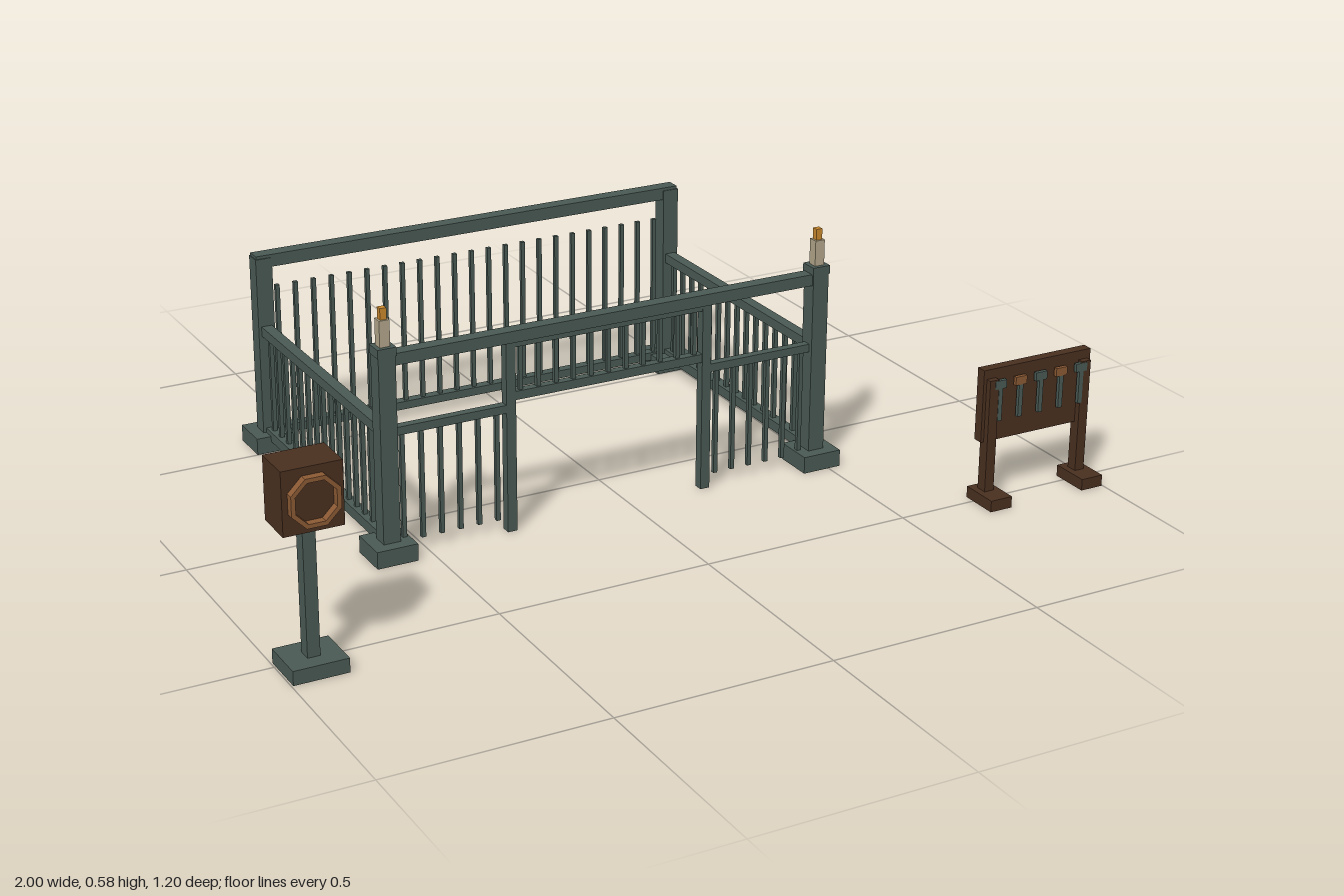
import * as THREE from 'three';

const mat = (name, color) => {
  const m = new THREE.MeshStandardMaterial({ color });
  m.name = name;
  return m;
};

export function createModel() {
  const root = new THREE.Group();
  root.name = 'fencedEnclosure';
  const iron = mat('greenGreyIron', 0x4a5a54);
  const wood = mat('darkWood', 0x4a3020);
  const trim = mat('lightWood', 0x8c5a34);
  const wax = mat('candleWax', 0xb4a88c);
  const flame = mat('flame', 0xcc8a2e);

  const group = (name) => {
    const g = new THREE.Group();
    g.name = name;
    root.add(g);
    return g;
  };
  // Box from min/max pairs on each axis
  const box = (parent, name, m, [x0, x1], [y0, y1], [z0, z1]) => {
    const mesh = new THREE.Mesh(new THREE.BoxGeometry(x1 - x0, y1 - y0, z1 - z0), m);
    mesh.position.set((x0 + x1) / 2, (y0 + y1) / 2, (z0 + z1) / 2);
    mesh.name = name;
    parent.add(mesh);
  };
  const around = (c, w) => [c - w / 2, c + w / 2];

  const L = -0.59, R = 0.482, F = 0.143, B = -0.549;
  const post = 0.04;

  // Corner posts, with candles on the front pair
  for (const x of [L, R]) {
    for (const z of [F, B]) {
      const g = group('cornerPost');
      box(g, 'postBase', iron, around(x, 0.096), [0, 0.04], around(z, 0.097));
      box(g, 'postShaft', iron, around(x, post), [0.04, 0.47], around(z, post));
      if (z === F) {
        box(g, 'postCap', iron, around(x, 0.044), [0.47, 0.49], around(z, 0.044));
        box(g, 'candle', wax, around(x, 0.024), [0.49, 0.55], around(z, 0.024));
        box(g, 'candleFlame', flame, around(x, 0.015), [0.55, 0.576], around(z, 0.015));
      }
    }
  }
  const inX = [L + post / 2, R - post / 2], inZ = [B + post / 2, F - post / 2];

  // Evenly spaced pickets along x
  const picketsX = (g, n, from, to, y, z) => {
    for (let i = 0; i < n; i++) {
      box(g, 'picket', iron, around(from + ((to - from) * i) / (n - 1), 0.01), y, around(z, 0.01));
    }
  };

  // Back wall: pickets stand free below the top beam
  const back = group('backWall');
  box(back, 'topBeam', iron, [L - 0.018, R + 0.018], [0.447, 0.477], around(B, 0.035));
  box(back, 'bottomRail', iron, inX, [0.025, 0.045], around(B, 0.024));
  picketsX(back, 23, -0.553, 0.445, [0.04, 0.395], B);

  // Side fences
  for (const x of [L, R]) {
    const side = group('sideFence');
    box(side, 'topRail', iron, around(x, 0.026), [0.282, 0.305], inZ);
    box(side, 'bottomRail', iron, around(x, 0.026), [0.027, 0.051], inZ);
    for (let i = 0; i < 15; i++) {
      box(side, 'picket', iron, around(x, 0.01), [0.051, 0.282], around(0.104 - i * 0.0437, 0.01));
    }
  }

  // Front wall with an open gateway
  const front = group('frontWall');
  const gl = -0.297, gr = 0.191;
  box(front, 'topBeam', iron, inX, [0.446, 0.473], around(F, 0.032));
  for (const x of [gl, gr]) box(front, 'gatePost', iron, around(x, 0.023), [0, 0.446], around(F, 0.023));
  box(front, 'gateLintel', iron, [gl, gr], [0.31, 0.33], around(F, 0.02));
  box(front, 'gateHeadRail', iron, [gl, gr], [0.433, 0.446], around(F, 0.02));
  picketsX(front, 11, -0.27, 0.163, [0.33, 0.433], F);
  box(front, 'midRail', iron, [inX[0], gl], [0.283, 0.302], around(F, 0.02));
  box(front, 'midRail', iron, [gr, inX[1]], [0.283, 0.302], around(F, 0.02));
  picketsX(front, 6, -0.553, -0.328, [0.03, 0.283], F);
  picketsX(front, 6, 0.222, 0.445, [0.03, 0.283], F);

  // Pedestal with a wooden box and an octagonal ring
  const stand = group('boxStand');
  const sx = -0.935;
  box(stand, 'standBase', iron, around(sx, 0.122), [0, 0.032], around(0.536, 0.11));
  box(stand, 'standPole', iron, around(sx, 0.028), [0.032, 0.319], around(0.537, 0.032));
  box(stand, 'standBox', wood, around(sx, 0.13), [0.319, 0.458], [0.489, 0.582]);
  const octagon = (path, r) => {
    for (let i = 0; i < 8; i++) {
      const a = ((i + 0.5) * Math.PI) / 4;
      path[i ? 'lineTo' : 'moveTo'](Math.cos(a) * r, Math.sin(a) * r);
    }
    path.closePath();
    return path;
  };
  const ringShape = octagon(new THREE.Shape(), 0.057);
  ringShape.holes.push(octagon(new THREE.Path(), 0.047));
  const ring = new THREE.Mesh(
    new THREE.ExtrudeGeometry(ringShape, { depth: 0.018, bevelEnabled: false }), trim);
  ring.name = 'octagonRing';
  ring.position.set(sx, 0.388, 0.582);
  stand.add(ring);

  // Tool board on two feet
  const board = group('toolBoard');
  box(board, 'boardPanel', wood, [0.698, 0.989], [0.144, 0.317], [0.481, 0.505]);
  for (const x of [0.718, 0.969]) {
    box(board, 'boardLeg', wood, around(x, 0.024), [0.027, 0.295], [0.492, 0.519]);
    box(board, 'boardFoot', wood, around(x, 0.056), [0, 0.027], [0.474, 0.568]);
  }
  // Hanging tools, alternating iron and wooden heads
  for (let i = 0; i < 5; i++) {
    const x = 0.735 + i * 0.0553;
    box(board, 'toolHead', i % 2 ? trim : iron, around(x, 0.03), [0.272, 0.292], [0.511, 0.52]);
    box(board, 'toolHandle', iron, around(x, 0.011), [0.195, 0.272], [0.511, 0.52]);
  }
  return root;
}
